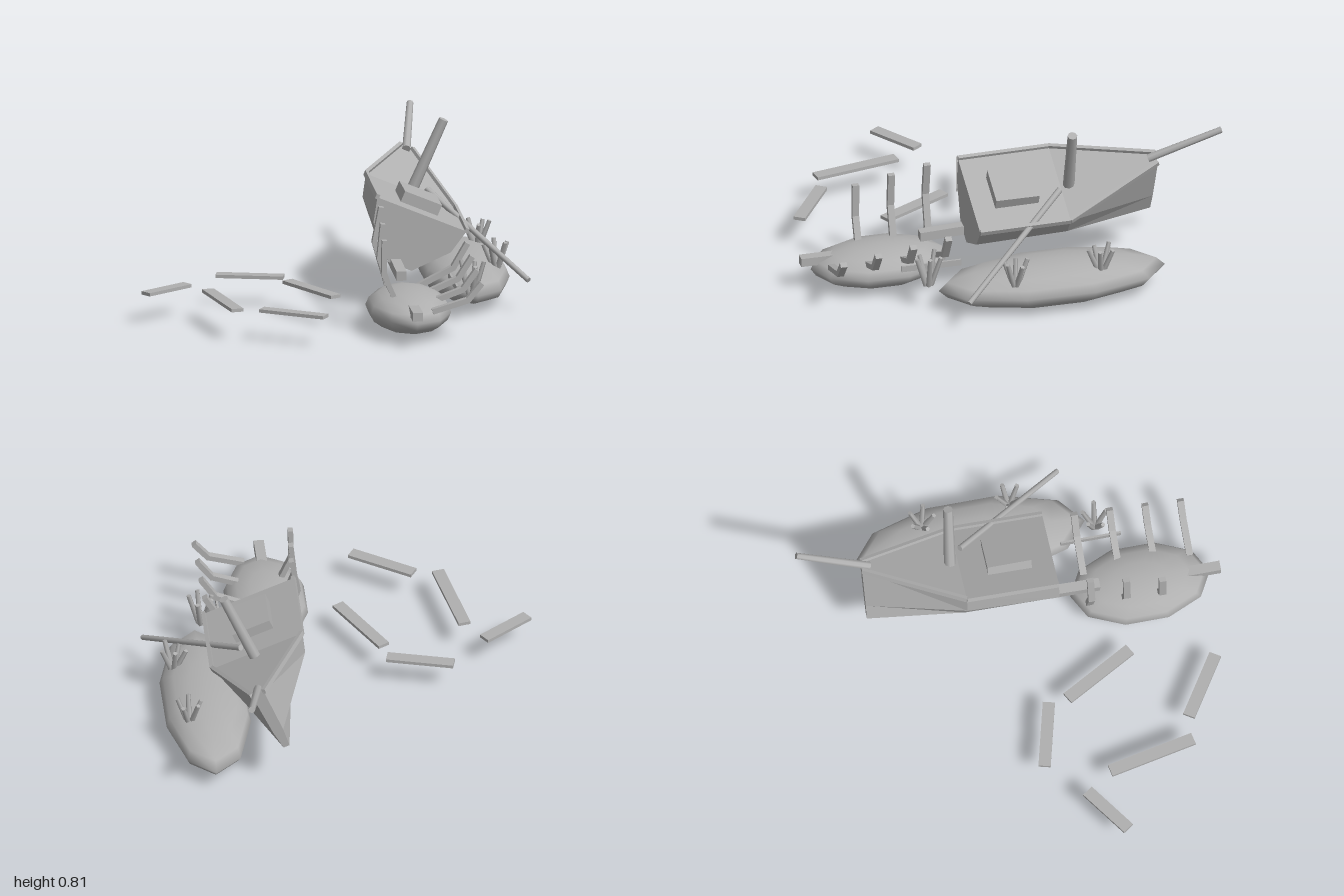
import * as THREE from 'three';

const grey = new THREE.MeshStandardMaterial({ color: 0xb0b0b0 });
grey.name = 'weathered grey';

const V = (p) => new THREE.Vector3(...p);

// Place a z-aligned geometry so that it runs from a to b
function span(name, geo, a, b) {
  const mesh = new THREE.Mesh(geo, grey);
  mesh.name = name;
  mesh.position.copy(V(a).add(V(b)).multiplyScalar(0.5));
  mesh.lookAt(V(b));
  return mesh;
}
const dist = (a, b) => V(a).distanceTo(V(b));
const beam = (name, a, b, w, h) => span(name, new THREE.BoxGeometry(w, h, dist(a, b)), a, b);
const pole = (name, a, b, r0, r1, sides = 8) =>
  span(name, new THREE.CylinderGeometry(r1, r0, dist(a, b), sides).rotateX(Math.PI / 2), a, b);

// Low-poly rounded rock, long axis along z
function rock(name, pos, rx, ry, rz) {
  const geo = new THREE.SphereGeometry(1, 10, 8).scale(rz, ry, rx).rotateY(Math.PI / 2);
  const mesh = new THREE.Mesh(geo, grey);
  mesh.name = name;
  mesh.position.set(...pos);
  return mesh;
}

// Hull stations from stern to bow: z, then half width and height of rail, knuckle and keel
const STATIONS = [
  { z: 0.21, rail: [0.23, 0], knuckle: [0.2, -0.12], keel: [0.06, -0.27] },
  { z: -0.23, rail: [0.23, 0.01], knuckle: [0.2, -0.1], keel: [0.06, -0.26] },
  { z: -0.69, rail: [0.03, 0.117], knuckle: [0.025, -0.13], keel: [0.015, -0.23] },
];

function hullGeometry() {
  const rings = STATIONS.map(({ z, rail, knuckle, keel }) => {
    const half = [rail, knuckle, keel];
    return [
      ...half.map(([x, y]) => [x, y, z]),
      ...half.slice().reverse().map(([x, y]) => [-x, y, z]),
    ];
  });
  const out = [];
  const tri = (a, b, c) => out.push(...a, ...b, ...c);
  for (let i = 0; i < rings.length - 1; i++) {
    for (let j = 0; j < 6; j++) {
      const k = (j + 1) % 6;
      const [a, b, c, d] = [rings[i][j], rings[i][k], rings[i + 1][k], rings[i + 1][j]];
      tri(a, b, c);
      tri(a, c, d);
    }
  }
  const stern = rings[0], bow = rings[rings.length - 1];
  for (let k = 1; k < 5; k++) {
    tri(stern[0], stern[k + 1], stern[k]);
    tri(bow[0], bow[k], bow[k + 1]);
  }
  const geo = new THREE.BufferGeometry();
  geo.setAttribute('position', new THREE.Float32BufferAttribute(out, 3));
  geo.computeVertexNormals();
  return geo;
}

// Heeled-over bow half of the ship
function makeHull() {
  const ship = new THREE.Group();
  ship.name = 'brokenShip';
  const hull = new THREE.Mesh(hullGeometry(), grey);
  hull.name = 'hull';
  ship.add(hull);
  for (const side of [1, -1]) {
    for (let i = 0; i < 2; i++) {
      const [a, b] = [STATIONS[i], STATIONS[i + 1]].map((s) => [side * s.rail[0], s.rail[1] + 0.003, s.z]);
      ship.add(beam('rail', a, b, 0.018, 0.024));
    }
  }
  const hatch = new THREE.Mesh(new THREE.BoxGeometry(0.19, 0.06, 0.21), grey);
  hatch.name = 'hatch';
  hatch.position.set(0, 0.027, 0);
  ship.add(hatch);
  ship.position.set(0.42, 0.46, 0);
  ship.rotation.z = -0.4;
  return ship;
}

// Five splayed stalks growing from one point
function makeCoral(x, y, z, height, turn) {
  const coral = new THREE.Group();
  coral.name = 'coral';
  for (let i = 0; i < 5; i++) {
    const a = turn + (i * Math.PI * 2) / 5;
    const [c, s] = [Math.cos(a), Math.sin(a)];
    const h = height * (1 - 0.08 * (i % 3));
    coral.add(pole('stalk', [c * 0.012, 0, s * 0.012], [c * 0.06, h, s * 0.06], 0.014, 0.011, 5));
  }
  coral.position.set(x, y, z);
  return coral;
}

export function createModel() {
  const model = new THREE.Group();
  model.name = 'shipwreck';

  // Rocks beneath the wreck
  model.add(rock('largeRock', [0.66, 0.105, -0.13], 0.21, 0.105, 0.55));
  model.add(rock('smallRock', [0.3, 0.107, 0.615], 0.2, 0.098, 0.335));

  // Ship with its stumps of mast and spars
  model.add(makeHull());
  model.add(pole('mastStump', [0.435, 0.46, -0.27], [0.585, 0.805, -0.25], 0.028, 0.023));
  model.add(pole('bowsprit', [0.462, 0.57, -0.65], [0.525, 0.71, -0.99], 0.02, 0.016));
  model.add(pole('fallenSpar', [0.5, 0.48, -0.21], [0.91, 0.155, 0.335], 0.015, 0.013));

  // Exposed keel ends
  model.add(beam('keelFront', [0.295, 0.155, 0.78], [0.295, 0.155, 1], 0.048, 0.042));
  model.add(beam('keelBack', [0.295, 0.23, 0.1], [0.295, 0.215, 0.42], 0.048, 0.045));

  // Bent ribs, upright on one side and collapsed on the other
  [0.36, 0.53, 0.7, 0.87].forEach((z, i) => {
    if (i < 3) {
      const top = 0.54 - 0.04 * i;
      const x = 0.205 - 0.015 * i;
      model.add(beam('ribLower', [0.235, 0.15, z], [0.172, top - 0.165, z], 0.032, 0.024));
      model.add(beam('ribUpper', [0.172, top - 0.175, z], [x, top, z], 0.032, 0.024));
    }
    const rise = 0.024 * (3 - i);
    model.add(beam('fallenRibLower', [0.38, 0.15, z], [0.55, 0.2 + rise / 2, z], 0.032, 0.026));
    model.add(beam('fallenRibUpper', [0.545, 0.195 + rise / 2, z], [0.615, 0.28 + rise, z], 0.032, 0.026));
  });
  model.add(beam('looseStringer', [0.54, 0.18, 0.28], [0.54, 0.18, 0.57], 0.01, 0.03));

  // Coral clusters
  model.add(makeCoral(0.755, 0.165, -0.345, 0.125, 0.3));
  model.add(makeCoral(0.79, 0.16, 0.08, 0.13, 0.9));
  model.add(makeCoral(0.62, 0.125, 0.46, 0.16, 0.1));

  // Drifting planks: x and z of both ends
  const planks = [
    [-0.53, 0.0, -0.22, 0.08],
    [-0.91, 0.33, -0.69, 0.175],
    [-0.61, 0.3, -0.525, 0.715],
    [-0.215, 0.17, -0.03, 0.505],
    [-0.41, 0.715, -0.13, 0.895],
  ];
  for (const [x0, z0, x1, z1] of planks) {
    model.add(beam('driftingPlank', [x0, 0.147, z0], [x1, 0.147, z1], 0.058, 0.016));
  }
  return model;
}
